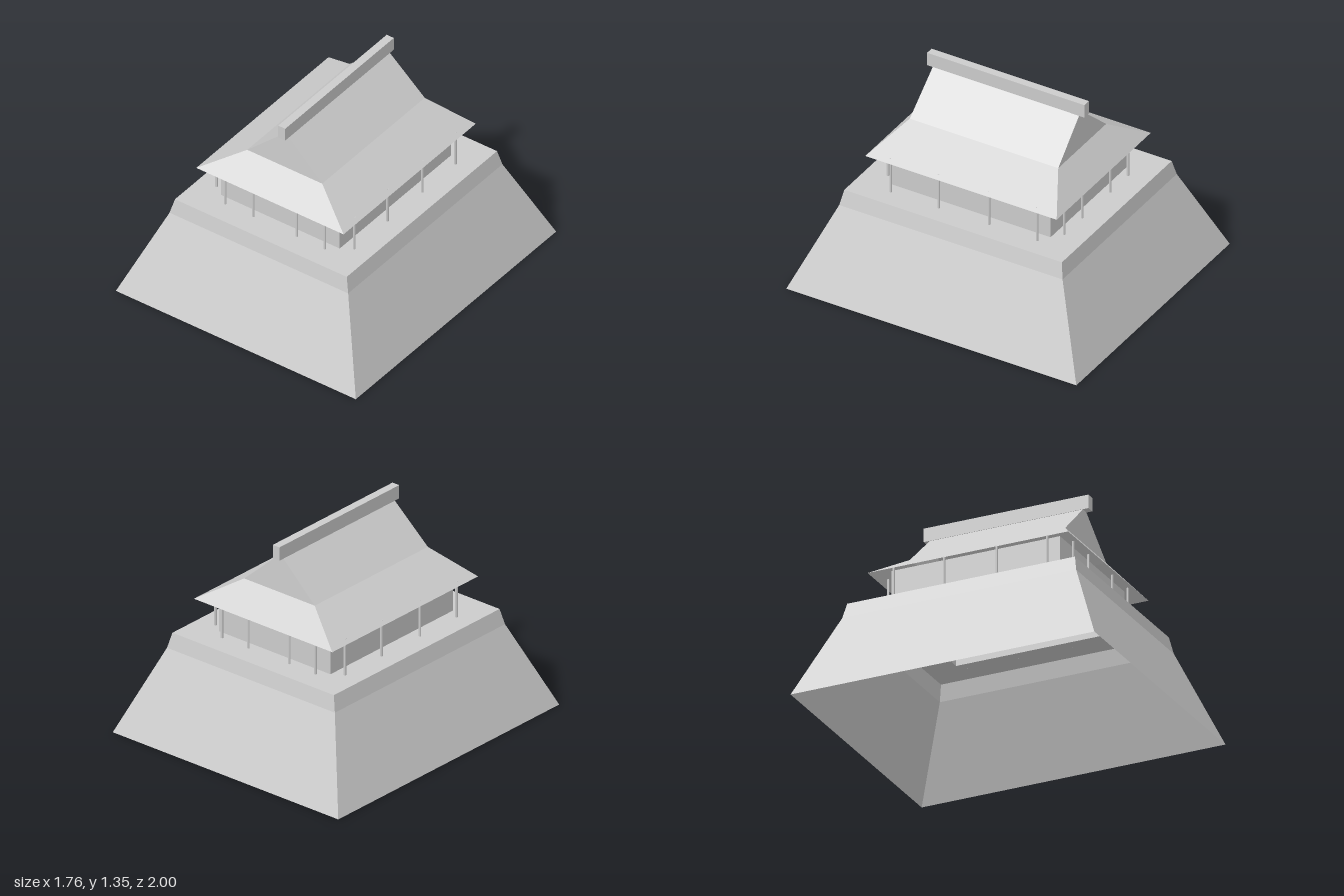
import * as THREE from 'three';

const material = new THREE.MeshStandardMaterial({ color: 0xcccccc, flatShading: true, side: THREE.DoubleSide });

function addMesh(parent, name, geometry) {
  const mesh = new THREE.Mesh(geometry, material);
  mesh.name = name;
  parent.add(mesh);
  return mesh;
}

// Open shell through rectangular rings, each given as [half x, y, half z]
function rectLoft(rings) {
  const signs = [[1, 1], [1, -1], [-1, -1], [-1, 1]];
  const corner = ([x, y, z], i) => [signs[i % 4][0] * x, y, signs[i % 4][1] * z];
  const positions = [];
  for (let r = 0; r < rings.length - 1; r++) {
    for (let i = 0; i < 4; i++) {
      const a = corner(rings[r], i), b = corner(rings[r], i + 1);
      const c = corner(rings[r + 1], i + 1), d = corner(rings[r + 1], i);
      positions.push(...a, ...b, ...c, ...a, ...c, ...d);
    }
  }
  const geometry = new THREE.BufferGeometry();
  geometry.setAttribute('position', new THREE.Float32BufferAttribute(positions, 3));
  geometry.computeVertexNormals();
  return geometry;
}

export function createModel() {
  const model = new THREE.Group();
  model.name = 'pavilion';

  // Hollow sloping base, its deck ending at the walls
  addMesh(model, 'base', rectLoft([
    [0.88, 0, 1], [0.655, 0.545, 0.77], [0.63, 0.645, 0.75],
  ]));
  addMesh(model, 'deck', rectLoft([[0.63, 0.645, 0.75], [0.435, 0.645, 0.555]]));
  addMesh(model, 'walls', rectLoft([[0.435, 0.645, 0.555], [0.435, 0.9, 0.555]]));

  // Hipped eaves below a gabled upper roof
  addMesh(model, 'lowerRoof', rectLoft([[0.54, 0.865, 0.66], [0.275, 1.03, 0.512]]));
  addMesh(model, 'upperRoof', rectLoft([[0.275, 1.03, 0.512], [0.012, 1.267, 0.504]]));
  addMesh(model, 'ridgeBeam', new THREE.BoxGeometry(0.052, 0.088, 1.084)).position.y = 1.301;

  // Veranda posts, four on each side and none at the corners
  const posts = new THREE.Group();
  posts.name = 'posts';
  model.add(posts);
  const postGeometry = new THREE.CylinderGeometry(0.008, 0.008, 0.24, 8);
  const addPost = (x, z) => addMesh(posts, 'post', postGeometry).position.set(x, 0.764, z);
  for (const side of [-1, 1]) {
    for (const x of [-0.365, -0.16, 0.16, 0.365]) addPost(x, side * 0.608);
    for (const z of [-0.505, -0.173, 0.173, 0.505]) addPost(side * 0.505, z);
  }

  return model;
}
